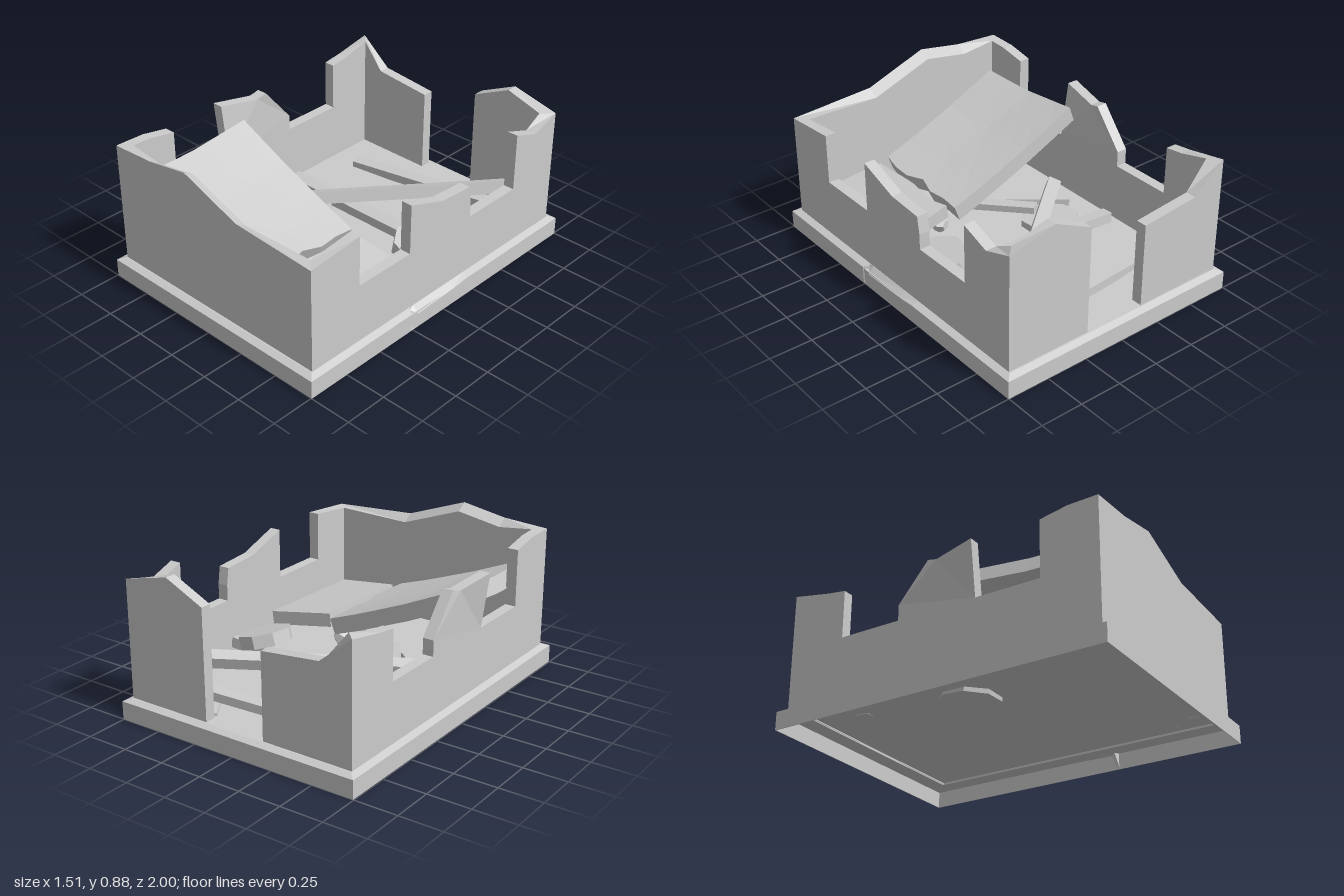
import * as THREE from 'three';

const mat = new THREE.MeshStandardMaterial({ color: 0xcccccc, flatShading: true, side: THREE.DoubleSide });
const T = 0.063; // wall thickness
const X = 0.711, Z = 0.955; // outer faces of the walls

function add(parent, name, geometry) {
  geometry.computeVertexNormals();
  const mesh = new THREE.Mesh(geometry, mat);
  mesh.name = name;
  parent.add(mesh);
  return mesh;
}

// Move every vertex by a rule
function warp(geometry, rule) {
  const p = geometry.attributes.position;
  const v = new THREE.Vector3();
  for (let i = 0; i < p.count; i++) {
    v.fromBufferAttribute(p, i);
    rule(v);
    p.setXYZ(i, v.x, v.y, v.z);
  }
  return geometry;
}

// Upright wall: the broken top is listed from low to high coordinate
function wallGeometry(top) {
  const pts = [[top[0][0], 0.1], [top[top.length - 1][0], 0.1], ...[...top].reverse()];
  const shape = new THREE.Shape(pts.map(([a, y]) => new THREE.Vector2(a, y)));
  return new THREE.ExtrudeGeometry(shape, { depth: T, bevelEnabled: false });
}

// Front and back walls, with mitred ends on the inner face
function endWall(top, z) {
  return warp(wallGeometry(top).translate(0, 0, z), (v) => {
    if (Math.abs(v.z) < Z - 0.01) v.x = THREE.MathUtils.clamp(v.x, T - X, X - T);
  });
}

// Side walls run along z, mitred the same way
function sideWall(top, x) {
  return warp(wallGeometry(top).rotateY(-Math.PI / 2).translate(x, 0, 0), (v) => {
    if (Math.abs(v.x) < X - 0.01) v.z = THREE.MathUtils.clamp(v.z, T - Z, Z - T);
  });
}

// Hollow rectangular plinth with a V-shaped crack on its +x side
function plinthGeometry() {
  const profile = [[0, 0], [0, 0.105], [0.037, 0.12], [0.105, 0.12], [0.105, 0.095], [0.004, 0.095], [0.004, 0]];
  const corner = (sx, sz) => ([o, y]) => [sx * (0.75 - o), y, sz * (1 - o)];
  const side = (z, cut, dip) => ([o, y]) => {
    const upperEdge = o === 0 && y > 0.1;
    return [0.75 - o - (upperEdge ? cut : 0), y - (upperEdge ? dip : 0), z];
  };
  const stations = [
    corner(1, 1), side(0.26, 0, 0), side(0.24, 0.03, 0), side(0.21, 0, 0.02), side(-0.08, 0, 0.01),
    side(-0.2, 0, 0), corner(1, -1), corner(-1, -1), corner(-1, 1)];
  const n = profile.length, pos = [], idx = [];
  for (const s of stations) for (const q of profile) pos.push(...s(q));
  for (let i = 0; i < stations.length; i++) {
    const j = (i + 1) % stations.length;
    for (let k = 0; k < n; k++) {
      const m = (k + 1) % n;
      const a = i * n + k, b = j * n + k, c = j * n + m, d = i * n + m;
      idx.push(a, b, c, a, c, d);
    }
  }
  const g = new THREE.BufferGeometry();
  g.setAttribute('position', new THREE.Float32BufferAttribute(pos, 3));
  g.setIndex(idx);
  return g.toNonIndexed();
}

// Fallen roof slab: side edges, end edges and top height are given by functions
function slabGeometry(left, right, back, front, height, thick, lean) {
  const g = new THREE.BoxGeometry(1, 1, 1, 5, 1, 6);
  return warp(g, (v) => {
    const u = v.x + 0.5, w = v.z + 0.5, bottom = v.y < 0;
    const z = back(u) + (front(u) - back(u)) * w;
    const x = left(w) + (right(w) - left(w)) * u;
    v.set(x - (bottom ? lean : 0), height(x, w) - (bottom ? thick : 0), z);
  }).toNonIndexed();
}

function beam(parent, name, from, to, width, height, roll = 0) {
  const a = new THREE.Vector3(...from), b = new THREE.Vector3(...to);
  const mesh = add(parent, name, new THREE.BoxGeometry(width, height, a.distanceTo(b)));
  mesh.position.copy(a).add(b).multiplyScalar(0.5);
  mesh.lookAt(b);
  mesh.rotateZ(roll);
}

// Straight-line interpolation through a short list of [x, y] points
function polyline(points, x) {
  for (let i = 1; i < points.length; i++) {
    const [x0, y0] = points[i - 1], [x1, y1] = points[i];
    if (x <= x1 || i === points.length - 1) return y0 + (y1 - y0) * (x - x0) / (x1 - x0);
  }
}

export function createModel() {
  const root = new THREE.Group();
  root.name = 'ruinedBuilding';
  const body = new THREE.Group();
  body.name = 'building';
  body.position.x = 0.004;
  root.add(body);

  // Plinth and floor
  add(body, 'plinth', plinthGeometry());
  const floor = add(body, 'floor', new THREE.BoxGeometry(1.3, 0.012, 1.8));
  floor.position.y = 0.114;

  // Broken walls
  const walls = new THREE.Group();
  walls.name = 'walls';
  body.add(walls);
  const frontWall = endWall([[-X, 0.825], [-0.44, 0.84], [-0.17, 0.885], [0.2, 0.75], [X, 0.72]], Z - T);
  // Its broken top slopes down toward the inside
  warp(frontWall, (v) => {
    if (v.y > 0.5 && v.z < Z - 0.01 && Math.abs(v.x) < 0.5) v.y -= 0.04;
  });
  add(walls, 'frontWall', frontWall);
  add(walls, 'backWallRight', endWall([[-X, 0.8], [-0.52, 0.645], [-0.17, 0.61]], -Z));
  add(walls, 'backWallLeft', endWall([[0.2, 0.75], [0.43, 0.86], [X, 0.795]], -Z));
  add(walls, 'leftWall', sideWall([
    [-Z, 0.795], [-0.78, 0.735], [-0.61, 0.795], [-0.61, 0.46], [-0.235, 0.46], [-0.235, 0.55], [-0.22, 0.65],
    [0, 0.665], [0.245, 0.75], [0.245, 0.46], [0.62, 0.46], [0.62, 0.75], [Z, 0.72]], X));

  const rightWall = sideWall([
    [-Z, 0.8], [-0.72, 0.755], [-0.61, 0.74], [-0.61, 0.46], [-0.24, 0.46], [-0.24, 0.55], [-0.06, 0.765],
    [0, 0.748], [0.24, 0.78], [0.24, 0.46], [0.62, 0.46], [0.62, 0.79], [0.78, 0.82], [Z, 0.825]], T - X);
  // The pier between the openings leans outward at its front edge
  warp(rightWall, (v) => {
    if (v.z > -0.07 && v.z < 0.25 && v.y > 0.46) v.x -= 0.045 * (v.y - 0.46) / 0.32 * (v.z + 0.06) / 0.3;
  });
  add(walls, 'rightWall', rightWall);

  // Collapsed roof, split by a jagged crack
  const roof = new THREE.Group();
  roof.name = 'collapsedRoof';
  body.add(roof);
  const crack = [[0, 0.21], [0.17, 0.2], [0.33, 0.21], [0.5, 0.175], [0.67, 0.21], [0.83, 0.205], [1, 0.18]];
  const crack2 = [[0, 0.24], [0.17, 0.265], [0.33, 0.25], [0.5, 0.235], [0.67, 0.235], [0.83, 0.24], [1, 0.24]];
  const sag = [[-0.62, 0.685], [-0.31, 0.54], [0, 0.41], [0.2, 0.335]];
  add(roof, 'largeRoofSlab', slabGeometry(() => -0.62, (w) => polyline(crack, w),
    () => 0.14, (u) => 0.875 - 0.045 * u,
    (x, w) => polyline(sag, x) - 0.09 * Math.min(w, 0.55) * Math.max(0, 0.2 - x), 0.09, 0.033));
  add(roof, 'smallRoofSlab', slabGeometry((w) => polyline(crack2, w), () => 0.628,
    (u) => 0.175 - 0.035 * u, (u) => 0.825 + 0.04 * u,
    (x, w) => 0.345 - 0.16 * (x - 0.23) - 0.02 * w, 0.08, 0.01));

  // Fallen beams
  const beams = new THREE.Group();
  beams.name = 'beams';
  body.add(beams);
  beam(beams, 'longBeam', [0.62, 0.345, -0.85], [-0.53, 0.2, 0.17], 0.075, 0.07, 0.35);
  beam(beams, 'crossBeam', [-0.6, 0.15, -0.23], [0.64, 0.2, -0.18], 0.075, 0.06, 0.1);
  beam(beams, 'floorBeam', [-0.48, 0.13, -0.64], [0.63, 0.19, -0.79], 0.078, 0.05);

  // Rubble: round slabs, planks and chunks
  const rubble = new THREE.Group();
  rubble.name = 'rubble';
  body.add(rubble);
  const disc = add(rubble, 'raisedDisc', new THREE.CylinderGeometry(0.155, 0.155, 0.075, 8));
  disc.position.set(0.49, 0.235, -0.1);
  disc.rotation.set(0.1, 0.2, -0.28);
  const flat = add(rubble, 'flatDisc', new THREE.CylinderGeometry(0.17, 0.17, 0.06, 8));
  flat.position.set(-0.33, 0.125, -0.04);
  flat.rotation.set(0.06, 0.4, 0.04);
  beam(rubble, 'plank', [-0.56, 0.14, 0.06], [-0.15, 0.15, 0.36], 0.09, 0.04);
  beam(rubble, 'plank', [-0.3, 0.18, 0.05], [-0.05, 0.14, 0.4], 0.07, 0.04);
  beam(rubble, 'plank', [0.15, 0.14, 0.8], [0.6, 0.14, 0.78], 0.06, 0.05);
  beam(rubble, 'plank', [0.2, 0.2, 0.3], [0.26, 0.18, 0.7], 0.09, 0.05, 0.4);
  beam(rubble, 'plank', [0.22, 0.125, -0.88], [0.38, 0.125, -0.65], 0.05, 0.02);
  const chunks = [[0.22, 0.17, 0.27, 0.05], [0.2, 0.18, 0.6, 0.05], [0.52, 0.16, 0.83, 0.065], [0.6, 0.15, 0.7, 0.05]];
  for (const [x, y, z, r] of chunks) {
    const chunk = add(rubble, 'chunk', new THREE.DodecahedronGeometry(r));
    chunk.position.set(x, y, z);
    chunk.rotation.set(x * 5, z * 4, 0.3);
  }
  return root;
}
